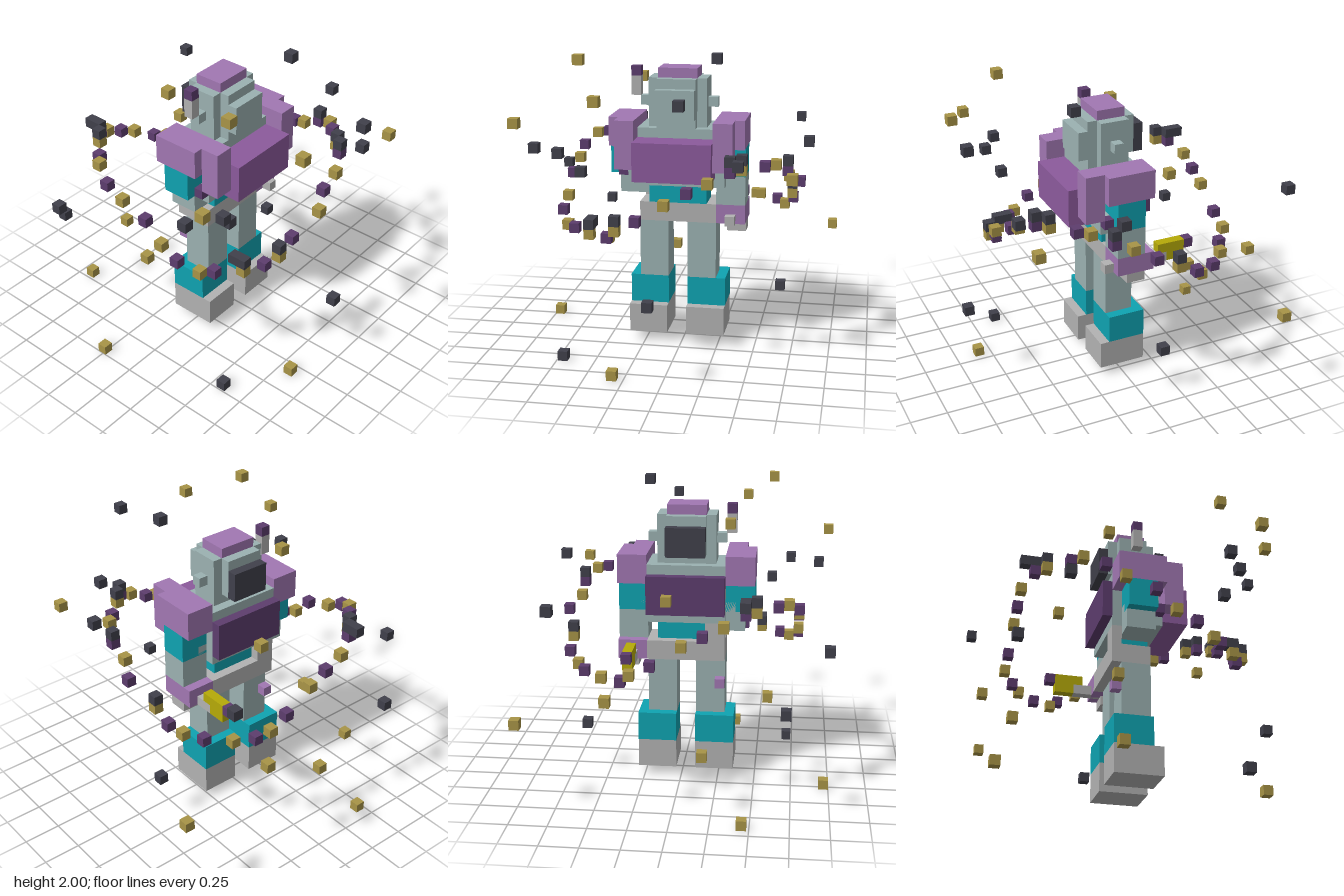
import * as THREE from 'three';

const U = 2 / 31; // one grid cell
const mat = (color) => new THREE.MeshStandardMaterial({ color, flatShading: true });
const M = {
  steel: mat(0x9bb1b1), purple: mat(0xa177b2), chest: mat(0x8c5a9c), teal: mat(0x0fa3b1),
  grey: mat(0xb2b2b2), yellow: mat(0xb5aa08), tan: mat(0xa89447), dark: mat(0x40404b), plum: mat(0x5d3d6e),
};

export function createModel() {
  const model = new THREE.Group();

  // box from edge to edge, measured in cells (x and z from the centre, y from the ground)
  const box = (name, m, x0, x1, y0, y1, z0, z1) => {
    const mesh = new THREE.Mesh(new THREE.BoxGeometry((x1 - x0) * U, (y1 - y0) * U, (z1 - z0) * U), M[m]);
    mesh.position.set((x0 + x1) / 2 * U, (y0 + y1) / 2 * U, (z0 + z1) / 2 * U);
    mesh.name = name;
    model.add(mesh);
  };
  // the same box on both sides of the body, which is centred on x = -0.5
  const pair = (name, m, x0, x1, ...rest) => {
    box(name + 'Left', m, x0, x1, ...rest);
    box(name + 'Right', m, -1 - x1, -1 - x0, ...rest);
  };
  const cube = (name, m, x, y, z) => box(name, m, x - 0.5, x + 0.5, y, y + 1, z - 0.5, z + 0.5);

  // legs
  pair('boot', 'grey', 0.5, 4.5, 1, 4, -2.5, 2.5);
  pair('shin', 'teal', 0.5, 4.5, 4, 7, -2.5, 1.5);
  pair('thigh', 'steel', 0.5, 3.5, 7, 13, -1.5, 1.5);

  // trunk
  box('belt', 'grey', -4.5, 3.5, 13, 15, -2.5, 1.5);
  box('abdomen', 'teal', -3.5, 2.5, 15, 17, -1.5, 1.5);
  box('torso', 'steel', -4.5, 3.5, 17, 23, -2.5, 2.5);
  box('ribs', 'steel', -5.5, 4.5, 17, 19, -1.5, 2.5);
  box('chestPlate', 'chest', -4.5, 3.5, 18, 22, 2.5, 5.5);
  box('backPlate', 'plum', -4.5, 3.5, 18, 22, -3.5, -2.5);

  // arms
  pair('shoulder', 'purple', 3.5, 6.5, 21, 24, -2.5, 2.5);
  pair('shoulderGuard', 'purple', 3.5, 5.5, 19, 24, 2.5, 4.5);
  pair('guardTip', 'plum', 4.5, 5.5, 18, 19, 1.5, 2.5);
  pair('upperArm', 'teal', 3.5, 6.5, 18, 21, -1.5, 1.5);
  box('forearmLeft', 'steel', 3.5, 6.5, 15, 18, -1.5, 1.5);
  box('cuffLeft', 'purple', 3.5, 6.5, 13, 15, -2.5, 1.5);
  box('handLeft', 'grey', 4.5, 6.5, 12, 13, -1.5, 0.5);
  box('forearmRight', 'steel', -6.5, -3.5, 16, 18, -1.5, 1.5);
  box('handRight', 'grey', -4.5, -2.5, 15, 17, -2.5, -1.5);

  // tool held in the left hand, pointing back
  box('toolHandle', 'grey', 4.5, 5.5, 13, 14, -4.5, 2.5);
  box('toolBladeTop', 'yellow', 4.5, 5.5, 14, 15, -6.5, -3.5);
  box('toolBlade', 'yellow', 4.5, 5.5, 13, 14, -6.5, -4.5);
  cube('toolTip', 'plum', 5, 14, -7);

  // head
  box('head', 'steel', -3.5, 2.5, 23, 28, -1.5, 1.5);
  box('face', 'steel', -2.5, 1.5, 23, 28, 1.5, 2.5);
  box('visor', 'steel', -2.5, 1.5, 24, 27, 2.5, 3.5);
  box('headBack', 'steel', -2.5, 1.5, 24, 28, -2.5, -1.5);
  box('headPack', 'dark', -2.5, 1.5, 24, 27, -3.5, -2.5);
  box('cap', 'purple', -2.5, 1.5, 28, 29, -1.5, 1.5);
  pair('ear', 'steel', 2.5, 3.5, 25, 26, -0.5, 0.5);
  box('antenna', 'grey', -5.5, -4.5, 26, 28, -0.5, 0.5);
  cube('antennaTip', 'plum', -5, 28, 0);

  // wavy ring of cubes, some with a dark cube on top
  const snap = (v) => Math.floor(16 + v) - 16;
  const topped = [2, 5, 6, 11, 13, 23, 24, 35];
  for (let i = 0; i < 36; i++) {
    const a = i * Math.PI / 18;
    const x = snap(12 * Math.cos(a)), z = snap(12 * Math.sin(a));
    const y = 17 + Math.floor(4 * Math.sin(2 * a) + 1e-9);
    cube('ringCube', i % 2 ? 'tan' : 'plum', x, y, z);
    if (topped.includes(i)) cube('ringSpark', 'dark', x, y + 1, z);
  }

  // loose cubes drifting around
  const drift = {
    tan: [[-9, 30, 8], [-6, 27, 14], [-5, 27, -3], [-15, 24, 10], [12, 20, 12], [1, 20, -7], [6, 12, -14],
      [-9, 9, -3], [15, 9, -13], [-3, 6, -12], [-15, 0, -4], [-7, 0, -14], [-5, 0, 13]],
    dark: [[4, 30, 5], [2, 27, 15], [13, 22, 4], [-14, 21, 7], [7, 21, 12], [11, 21, -15], [-7, 21, -12],
      [-11, 21, 9], [-9, 19, 8], [-8, 14, 8], [-15, 16, -9], [-11, 11, -13], [-1, 8, 15], [10, 5, -2], [-11, 0, 9]],
    purple: [[-4, 10, -2]],
  };
  for (const [m, cells] of Object.entries(drift)) cells.forEach((c) => cube('driftingCube', m, ...c));

  return model;
}
